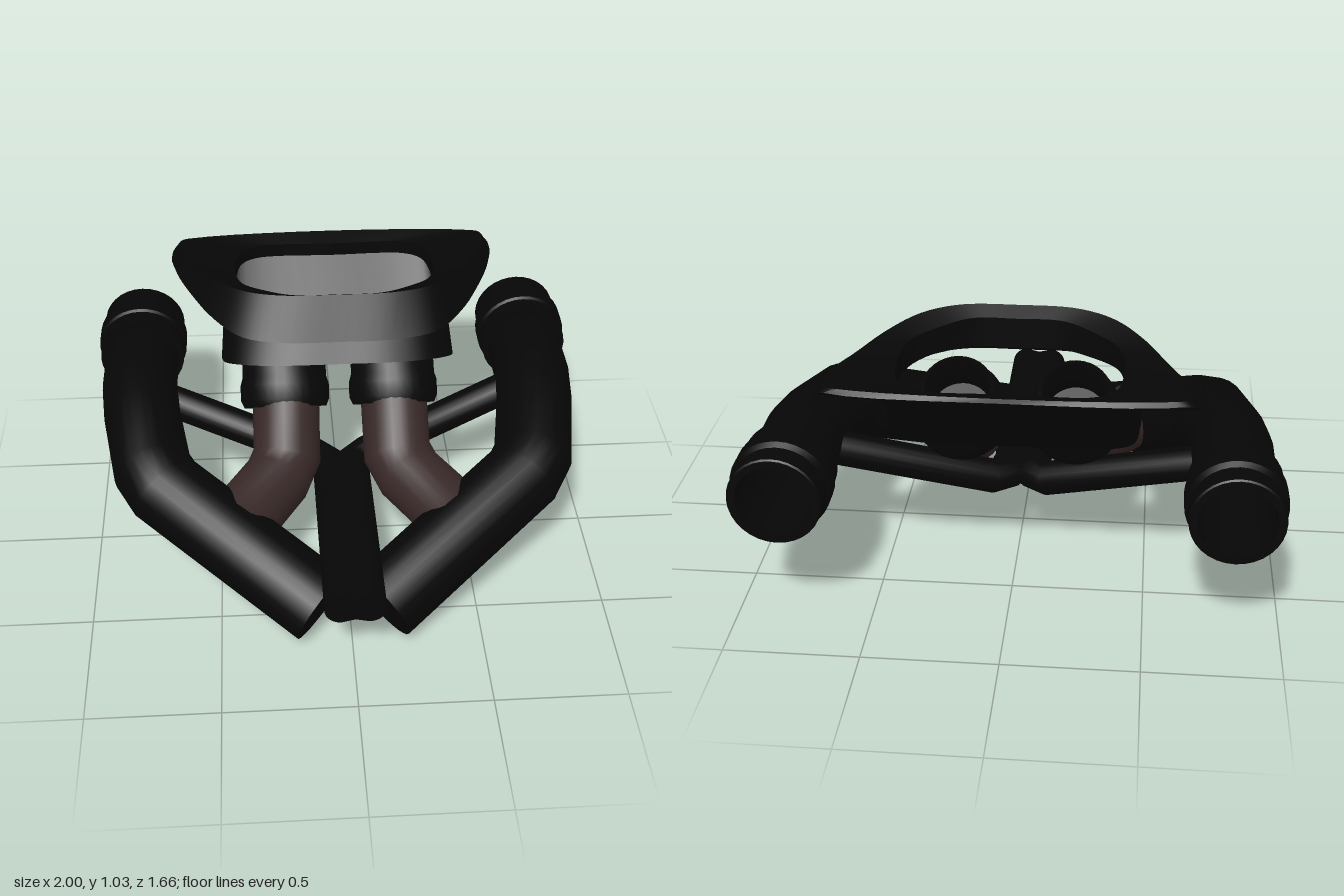
import * as THREE from 'three';
import { toCreasedNormals } from 'three/addons/utils/BufferGeometryUtils.js';

const black = new THREE.MeshStandardMaterial({ color: 0x060606, side: THREE.DoubleSide });
black.name = 'black plastic';
const brown = new THREE.MeshStandardMaterial({ color: 0x372827, side: THREE.DoubleSide });
brown.name = 'dark brown hose';

const V = (x, y, z) => new THREE.Vector3(x, y, z);

// Joins closed rings of equal length into a skin; optional flat caps on the ends
function loft(rings, capStart = false, capEnd = false, crease = 0.6) {
  const n = rings[0].length, pos = [], idx = [];
  rings.forEach(r => r.forEach(p => pos.push(p.x, p.y, p.z)));
  for (let i = 0; i < rings.length - 1; i++)
    for (let j = 0; j < n; j++) {
      const a = i * n + j, b = i * n + (j + 1) % n;
      idx.push(a, b, b + n, a, b + n, a + n);
    }
  const cap = (k, flip) => {
    const c = rings[k].reduce((s, p) => s.add(p), V(0, 0, 0)).divideScalar(n);
    const ci = pos.length / 3;
    pos.push(c.x, c.y, c.z);
    for (let j = 0; j < n; j++) {
      const a = k * n + j, b = k * n + (j + 1) % n;
      idx.push(ci, flip ? b : a, flip ? a : b);
    }
  };
  if (capStart) cap(0, true);
  if (capEnd) cap(rings.length - 1, false);
  const g = new THREE.BufferGeometry();
  g.setAttribute('position', new THREE.Float32BufferAttribute(pos, 3));
  g.setIndex(idx);
  return toCreasedNormals(g, crease);
}

// Pipe along straight runs with mitred bends
function pipe(points, radius, sides, capStart, capEnd) {
  const dirs = points.slice(1).map((p, i) => p.clone().sub(points[i]).normalize());
  const u = V(0, 1, 0).addScaledVector(dirs[0], -dirs[0].y).normalize();
  const w = dirs[0].clone().cross(u);
  let ring = [];
  for (let j = 0; j < sides; j++) {
    const a = j / sides * Math.PI * 2;
    ring.push(points[0].clone().addScaledVector(u, Math.cos(a) * radius).addScaledVector(w, Math.sin(a) * radius));
  }
  const rings = [ring];
  dirs.forEach((d, i) => {
    const normal = d.clone().add(dirs[i + 1] || d).normalize();
    ring = ring.map(p => p.clone().addScaledVector(d, points[i + 1].clone().sub(p).dot(normal) / d.dot(normal)));
    rings.push(ring);
  });
  return loft(rings, capStart, capEnd);
}

// Symmetric closed outline from half points [x, z]; height is a rule of z
function outline(half, height) {
  const left = half.slice(1, -1).reverse().map(([x, z]) => [-x, z]);
  const pts = [...half, ...left].map(([x, z]) => V(x, 0, z));
  const curve = new THREE.CatmullRomCurve3(pts, true, 'centripetal');
  return curve.getPoints(72).slice(0, 72).map(p => V(p.x, height(p.z), p.z));
}

// Two-lobed cross-section of the centre stem
function lobes(y, z) {
  const ring = [];
  for (const s of [1, -1]) {
    for (let j = 0; j <= 12; j++) {
      const a = (j / 12 - .5) * Math.PI;
      ring.push(V(s * (.052 + .063 * Math.cos(a)), y + s * .063 * Math.sin(a), z));
    }
    ring.push(V(0, y + s * .05, z));
  }
  return ring;
}

function add(parent, name, geometry, material) {
  const m = new THREE.Mesh(geometry, material);
  m.name = name;
  parent.add(m);
  return m;
}

function createModel() {
  const model = new THREE.Group();
  model.name = 'intakeAssembly';

  for (const s of [1, -1]) {
    const side = new THREE.Group();
    side.name = s > 0 ? 'leftDuct' : 'rightDuct';
    model.add(side);

    // Large outer duct sweeping forward, inward and down
    add(side, 'mainPipe', pipe([V(s * .815, .525, -.56), V(s * .815, .525, -.32), V(s * .8, .505, -.16),
      V(s * .75, .45, .13), V(s * .7, .418, .21), V(s * .113, .143, .617)], .153, 24, false, true), black);

    // Stepped coupling on the rear mouth
    const coupling = [[.15, -.55], [.175, -.55], [.177, -.63], [.185, -.64], [.185, -.72], [.171, -.74],
      [.171, -.825], [.165, -.83], [.14, -.83], [.14, -.55]].map(([r, z]) => new THREE.Vector2(r, z));
    const rear = new THREE.LatheGeometry(coupling, 32);
    rear.rotateX(Math.PI / 2);
    add(side, 'rearCoupling', toCreasedNormals(rear, 0.6), black).position.set(s * .815, .525, 0);

    // Branch from the centre stem out to the main duct
    add(side, 'balanceBranch', pipe([V(s * .055, .281, -.04), V(s * .055, .277, -.1),
      V(s * .11, .283, -.15), V(s * .76, .49, -.325)], .067, 18, true, true), black);

    // Brown elbow from the main duct up to the boot
    add(side, 'hoseElbow', pipe([V(s * .43, .325, .345), V(s * .265, .35, .09), V(s * .222, .4, .01),
      V(s * .217, .6, -.165)], .134, 24, true, true), brown);

    // Clamped boot, leaning back into the box
    const boot = [[.12, 0], [.166, 0], [.179, .03], [.179, .09], [.17, .12], [.168, .18], [.138, .22],
      [.138, .28], [.125, .29], [.115, .27], [.115, .1], [0, .1]].map(([r, y]) => new THREE.Vector2(r, y));
    const bootMesh = add(side, 'rubberBoot', toCreasedNormals(new THREE.LatheGeometry(boot, 32), 0.6), black);
    bootMesh.position.set(s * .22, .525, -.155);
    bootMesh.rotation.x = -Math.atan2(.6, .8);
  }

  // Twin-bore stem along the centre
  add(model, 'centreStem', loft([lobes(.278, -.1), lobes(.327, .83)], true, true), black);

  // Open sleeve leaning back, its lower edge rising to the front
  const sleeveHalf = [[0, -.14], [.2, -.145], [.33, -.195], [.42, -.3], [.445, -.45], [.445, -.6], [.42, -.71], [.32, -.745], [0, -.75]];
  const sleeveTop = outline(sleeveHalf, () => .885);
  const sleeveBottom = sleeveTop.map(p => {
    const drop = .09 + .2 * (-.14 - p.z) / .61;
    return V(p.x * 1.05, .885 - drop, p.z + drop * .95);
  });
  add(model, 'boxSleeve', loft([sleeveBottom, sleeveTop]), black);

  // Flared top flange with a raised front lip
  const crestY = z => .96 + .075 * Math.pow(Math.max(0, (z + .8) / .62), 2);
  const skirt = outline([[0, -.08], [.22, -.085], [.38, -.13], [.5, -.27], [.59, -.45], [.65, -.62], [.665, -.75], [.58, -.8], [0, -.82]],
    z => z < -.72 ? .9 + Math.min(1, (-.72 - z) / .07) * .045 : .882 + .018 * Math.min(1, (-.08 - z) / .3));
  const crest = outline([[0, -.18], [.22, -.19], [.36, -.25], [.47, -.37], [.55, -.51], [.62, -.65], [.63, -.765], [.55, -.79], [0, -.815]], crestY);
  const shelfHalf = [[0, -.235], [.17, -.24], [.28, -.3], [.37, -.38], [.4, -.47], [.4, -.6], [.375, -.69], [.31, -.735], [0, -.74]];
  const shelf = outline(shelfHalf, z => crestY(z) - .02);
  const throat = outline(shelfHalf, () => .885);
  add(model, 'topFlange', loft([sleeveTop, skirt, crest, shelf, throat, sleeveTop]), black);

  return model;
}

export { createModel };
